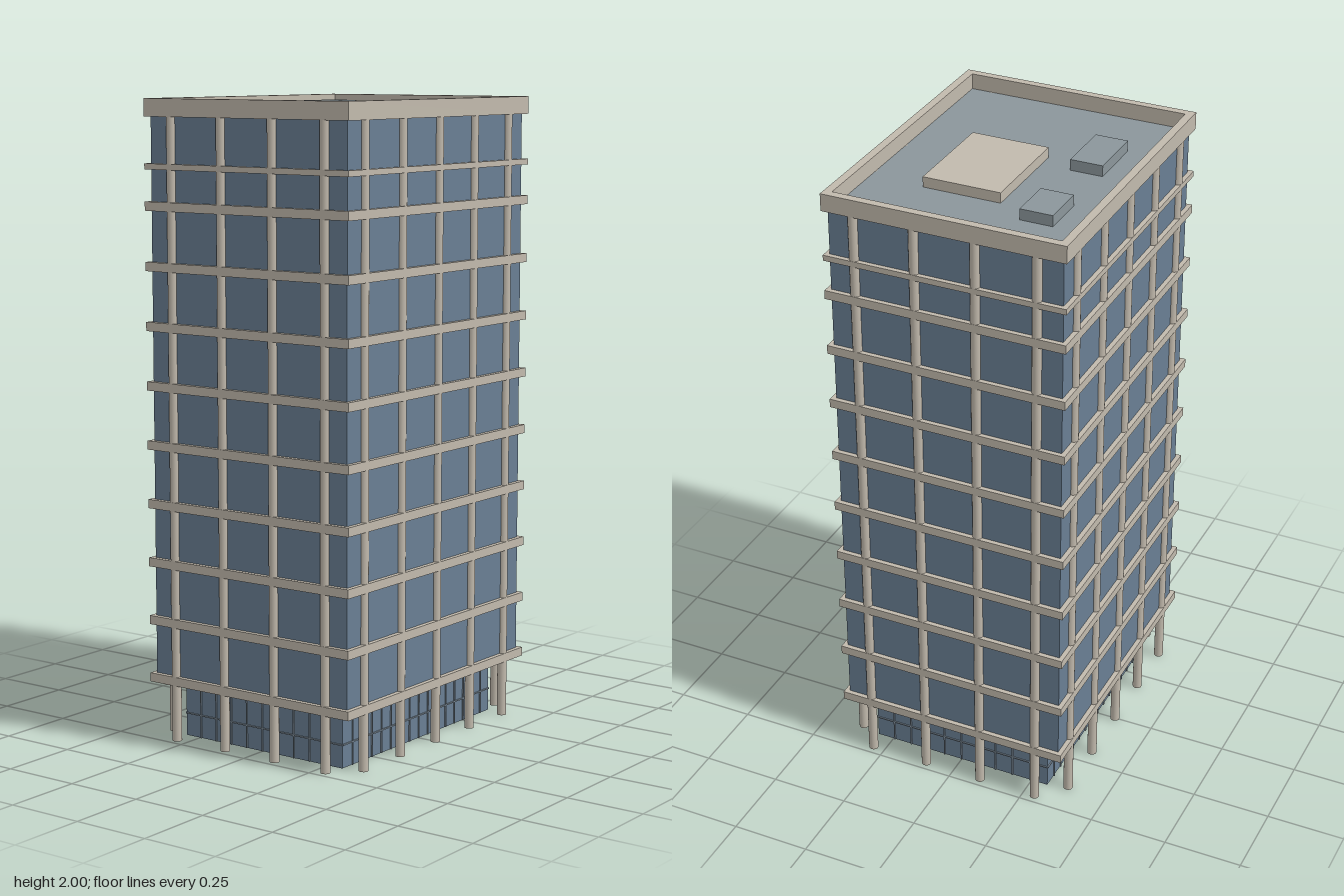
import * as THREE from 'three';

const concrete = new THREE.MeshStandardMaterial({ name: 'concrete', color: 0xc2baad });
const glass = new THREE.MeshStandardMaterial({ name: 'glass', color: 0x6a7f94 });
const lobbyGlass = new THREE.MeshStandardMaterial({ name: 'lobbyGlass', color: 0x6a7f94, side: THREE.DoubleSide });
const roofGrey = new THREE.MeshStandardMaterial({ name: 'roofGrey', color: 0x8b969b });
const mullionGrey = new THREE.MeshStandardMaterial({ name: 'mullionGrey', color: 0x8796a3 });

const HX = 0.385, HZ = 0.485;   // half footprint of slabs and parapet
const BAY = 0.193;              // column spacing
const SKIN = 0.015;             // glass set back from slab edge
const ROOF = 1.95;

export function createModel() {
  const model = new THREE.Group();
  model.name = 'officeTower';

  const add = (name, geometry, material, x, y, z, parent = model) => {
    const mesh = new THREE.Mesh(geometry, material);
    mesh.name = name;
    mesh.position.set(x, y, z);
    parent.add(mesh);
    return mesh;
  };
  // Box given by its bottom and top heights
  const block = (name, material, w, d, y0, y1, x = 0, z = 0, parent = model) =>
    add(name, new THREE.BoxGeometry(w, y1 - y0, d), material, x, (y0 + y1) / 2, z, parent);

  // Glazed body and floor slabs
  block('glassBody', glass, 2 * (HX - SKIN), 2 * (HZ - SKIN), 0.19, ROOF - 0.005);
  for (let i = 0; i < 9; i++) {
    const y = 0.193 + i * 0.185;
    block('floorSlab', concrete, 2 * HX, 2 * HZ, y - 0.014, y + 0.014);
  }
  block('topSlab', concrete, 2 * HX, 2 * HZ, 1.785, 1.803);

  // Round columns along all four faces, from the ground to the parapet
  const columnShape = new THREE.CylinderGeometry(0.015, 0.015, 1.95, 16);
  for (const s of [-1, 1]) {
    for (let i = 0; i < 4; i++)
      add('column', columnShape, concrete, (i - 1.5) * BAY, 0.975, s * (HZ - SKIN));
    for (let i = 0; i < 5; i++)
      add('column', columnShape, concrete, s * (HX - SKIN), 0.975, (i - 2) * BAY);
  }

  // Recessed lobby: four glass walls, open underneath, with thin mullions
  const LX = 0.305, LZ = 0.405, LH = 0.185;
  const lobbyWall = (half, dist, panes, angle) => {
    const wall = new THREE.Group();
    wall.name = 'lobbyWall';
    wall.rotation.y = angle;
    add('lobbyGlass', new THREE.PlaneGeometry(2 * half, LH), lobbyGlass, 0, LH / 2, dist, wall);
    for (let i = 1; i < panes; i++)
      block('mullion', mullionGrey, 0.004, 0.004, 0, LH, -half + (2 * half * i) / panes, dist + 0.002, wall);
    block('transom', mullionGrey, 2 * half, 0.004, 0.071, 0.075, 0, dist + 0.002, wall);
    model.add(wall);
  };
  for (const turn of [0, Math.PI]) {
    lobbyWall(LX, LZ, 10, turn);
    lobbyWall(LZ, LX, 16, turn + Math.PI / 2);
  }

  // Parapet ring
  const rect = (Type, x, z) => new Type().moveTo(-x, -z).lineTo(x, -z).lineTo(x, z).lineTo(-x, z).closePath();
  const ring = rect(THREE.Shape, HX, HZ);
  ring.holes.push(rect(THREE.Path, HX - 0.026, HZ - 0.026));
  const parapet = new THREE.ExtrudeGeometry(ring, { depth: 0.055, bevelEnabled: false });
  parapet.rotateX(-Math.PI / 2);
  add('parapet', parapet, concrete, 0, 1.945, 0);

  // Roof deck, plant room and service units
  block('roofDeck', roofGrey, 2 * HX - 0.05, 2 * HZ - 0.05, ROOF - 0.004, ROOF);
  block('plantRoom', concrete, 0.25, 0.335, ROOF, 1.983, 0.06, -0.065);
  block('rearRoofUnit', roofGrey, 0.104, 0.145, ROOF, 1.985, -0.21, -0.232);
  block('frontRoofUnit', roofGrey, 0.104, 0.19, ROOF, 1.985, -0.21, 0.145);

  return model;
}
